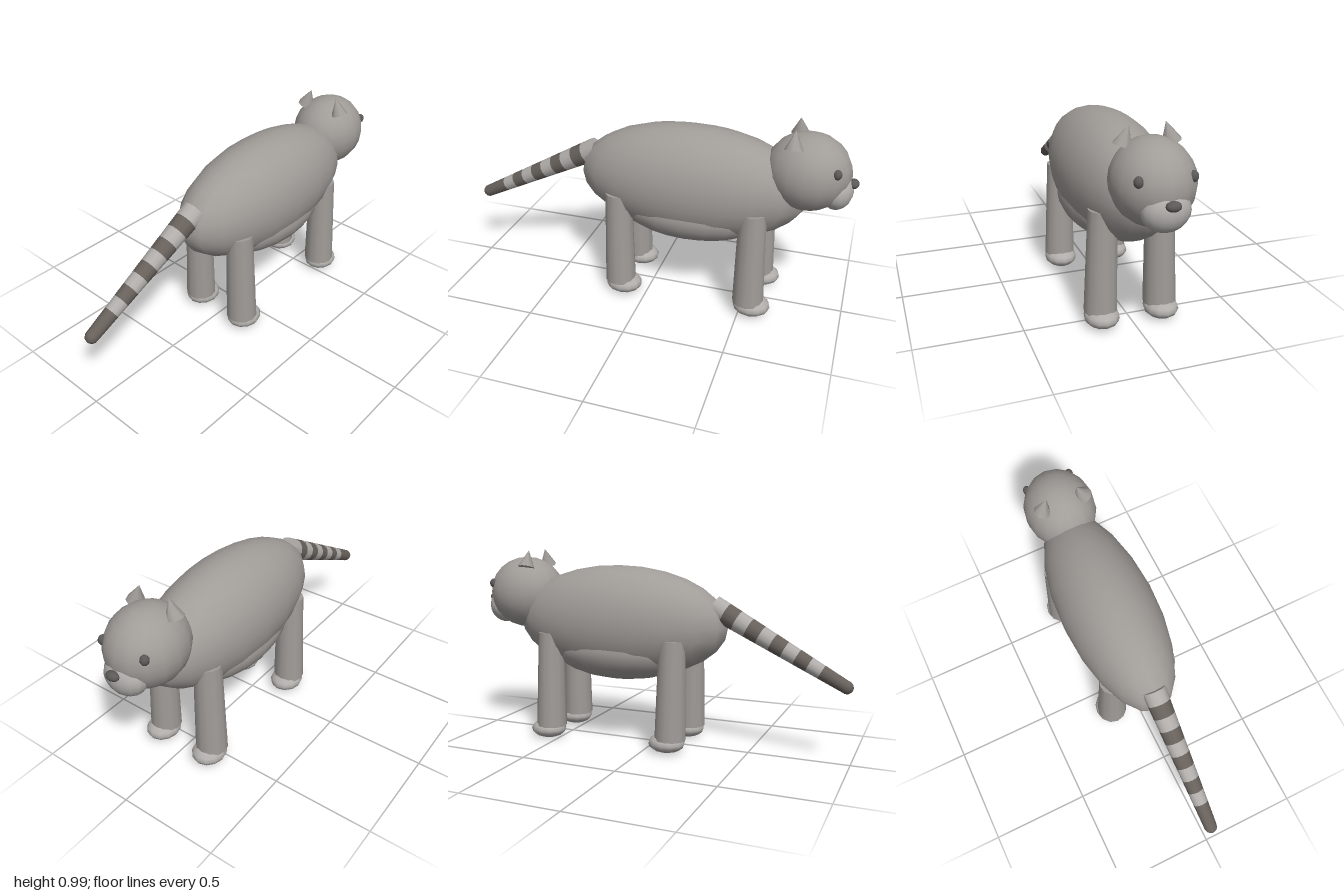
import * as THREE from 'three';

const paint = (name, color) => {
  const m = new THREE.MeshStandardMaterial({ color });
  m.name = name;
  return m;
};

export function createModel() {
  const fur = paint('grey fur', 0xa09c98);
  const pale = paint('pale fur', 0xb0adaa);
  const dark = paint('dark fur', 0x67605b);
  const black = paint('eye and nose grey', 0x5c5a58);

  const model = new THREE.Group();
  model.name = 'stripedTailAnimal';

  const add = (name, geometry, material) => {
    const mesh = new THREE.Mesh(geometry, material);
    mesh.name = name;
    model.add(mesh);
    return mesh;
  };

  // Ellipsoid from centre and radii
  const ellipsoid = (name, material, centre, radii, w = 16, h = 12) => {
    const mesh = add(name, new THREE.SphereGeometry(1, w, h), material);
    mesh.position.set(...centre);
    mesh.scale.set(...radii);
    return mesh;
  };

  // Tapered round bar between two points
  const bar = (name, material, from, to, r0, r1, sides = 12) => {
    const a = new THREE.Vector3(...from);
    const b = new THREE.Vector3(...to);
    const axis = b.clone().sub(a);
    const mesh = add(name, new THREE.CylinderGeometry(r1, r0, axis.length(), sides), material);
    mesh.position.copy(a).add(b).multiplyScalar(0.5);
    mesh.quaternion.setFromUnitVectors(new THREE.Vector3(0, 1, 0), axis.normalize());
    return mesh;
  };

  // Torso and belly
  ellipsoid('body', fur, [0.2, 0.63, 0], [0.585, 0.29, 0.242], 20, 14);
  ellipsoid('belly', fur, [0.2, 0.49, 0], [0.4, 0.162, 0.224], 20, 12);

  // Head, muzzle and nose
  ellipsoid('head', fur, [0.76, 0.76, 0], [0.205, 0.19, 0.183]);
  ellipsoid('muzzle', pale, [0.9, 0.685, 0], [0.08, 0.095, 0.108]);
  ellipsoid('nose', black, [0.975, 0.725, 0], [0.025, 0.022, 0.034], 12, 8);

  for (const [label, s] of [['right', -1], ['left', 1]]) {
    // z decides the side of the paired parts
    const side = s > 0 ? 'near' : 'far';
    ellipsoid(side + 'Eye', black, [0.9, 0.812, s * 0.117], [0.022, 0.025, 0.021], 10, 8);
    bar(side + 'Ear', fur, [0.697, 0.902, s * 0.11], [0.697, 0.99, s * 0.081], 0.045, 0, 8);

    // Legs and paws
    for (const [pair, x] of [['front', 0.54], ['back', -0.14]]) {
      const leg = pair + side[0].toUpperCase() + side.slice(1);
      bar(leg + 'Leg', fur, [x + 0.003, 0.07, s * 0.147], [x - 0.003, 0.57, s * 0.137], 0.079, 0.067);
      ellipsoid(leg + 'Paw', pale, [x + 0.022, 0.05, s * 0.147], [0.094, 0.048, 0.083], 12, 8);
    }
  }

  // Tail: alternating pale and dark bands, tapering to a rounded tip
  const root = new THREE.Vector3(-0.31, 0.728, 0);
  const tip = new THREE.Vector3(-0.968, 0.382, -0.005);
  const bands = 11;
  const joint = (i) => root.clone().lerp(tip, i / bands);
  const radius = (i) => 0.06 - (0.028 * i) / bands;
  for (let i = 0; i < bands; i++) {
    const isDark = i % 2 === 0 ? i === bands - 1 : true;
    bar('tailBand' + (i + 1), isDark ? dark : pale,
      joint(i).toArray(), joint(i + 1).toArray(), radius(i), radius(i + 1));
  }
  ellipsoid('tailTip', dark, tip.toArray(), [0.032, 0.032, 0.032], 12, 8);

  return model;
}
